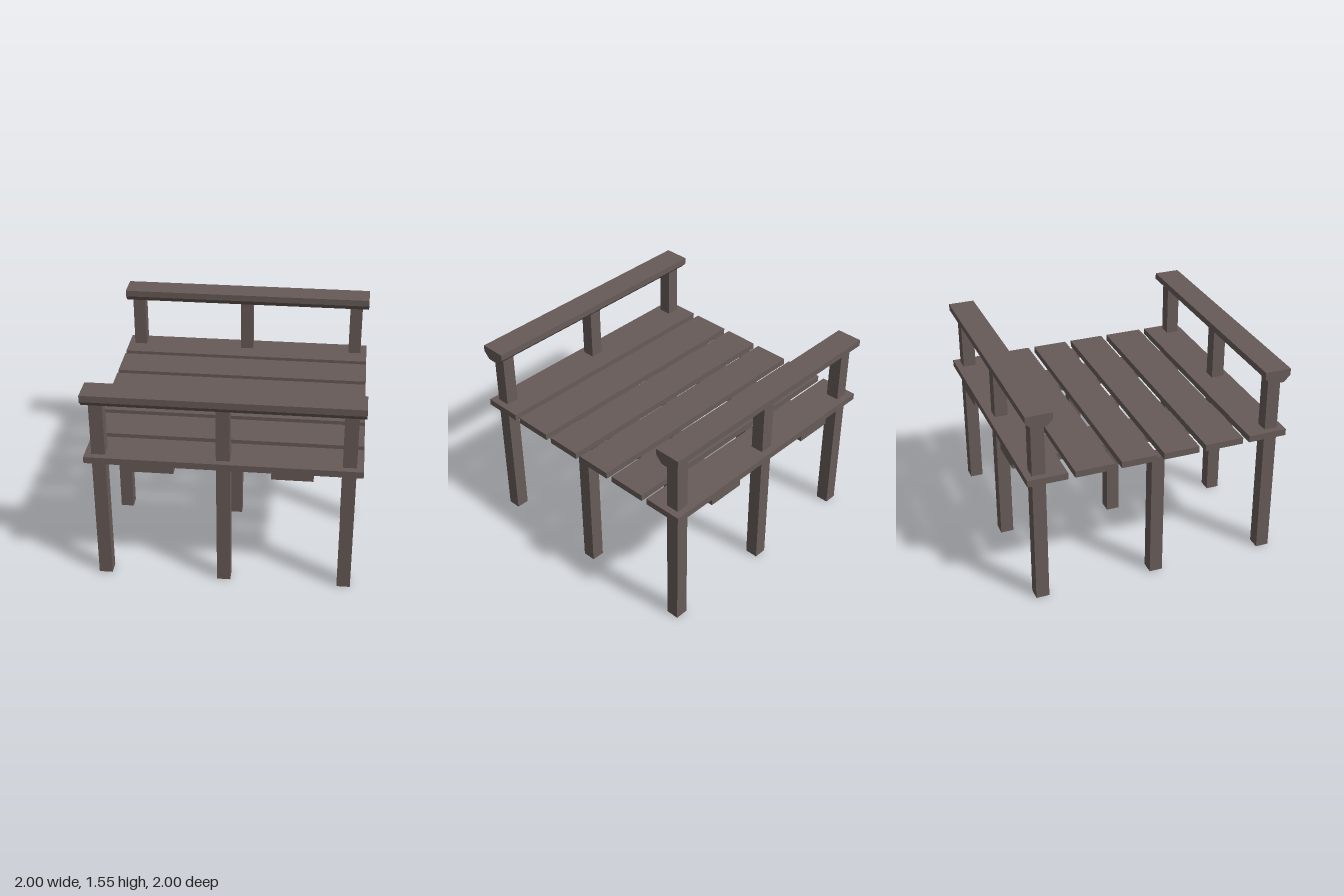
import * as THREE from 'three';

export function createModel() {
  const group = new THREE.Group();
  const wood = new THREE.MeshStandardMaterial({ color: 0x675b58, flatShading: true });

  const add = (name, geometry, x, y, z) => {
    const mesh = new THREE.Mesh(geometry, wood);
    mesh.name = name;
    mesh.position.set(x, y, z);
    group.add(mesh);
  };
  // Box given by its lower and upper corners
  const box = (name, [x0, y0, z0], [x1, y1, z1]) =>
    add(name, new THREE.BoxGeometry(x1 - x0, y1 - y0, z1 - z0),
      (x0 + x1) / 2, (y0 + y1) / 2, (z0 + z1) / 2);

  // Posts: outer rows rise to the handrails, the middle row stops under the deck
  for (const x of [-0.9, 0, 0.9]) {
    for (const z of [-0.9, 0, 0.9]) {
      const top = z === 0 ? 1 : 1.45;
      box(z === 0 ? 'deckPost' : 'railPost', [x - 0.05, 0, z - 0.05], [x + 0.05, top, z + 0.05]);
    }
  }

  // Deck planks, mirrored front to back, with narrow gaps between
  for (const [near, far] of [[0.025, 0.3], [0.35, 0.65], [0.7, 1]]) {
    box('deckPlank', [-1, 1, near], [1, 1.05, far]);
    box('deckPlank', [-1, 1, -far], [1, 1.05, -near]);
  }

  // Flat boards under the deck, running front to back
  for (const x of [-0.5, 0.5]) box('crossBoard', [x - 0.15, 0.95, -1], [x + 0.15, 1, 1]);

  // Handrails with chamfered undersides
  const profile = new THREE.Shape([
    [-0.05, 0], [0.05, 0], [0.1, 0.05], [0.1, 0.1], [-0.1, 0.1], [-0.1, 0.05],
  ].map(([x, y]) => new THREE.Vector2(x, y)));
  const rail = new THREE.ExtrudeGeometry(profile, { depth: 2, bevelEnabled: false });
  rail.translate(0, 0, -1).rotateY(Math.PI / 2);
  for (const z of [-0.9, 0.9]) add('handrail', rail, 0, 1.45, z);

  return group;
}
